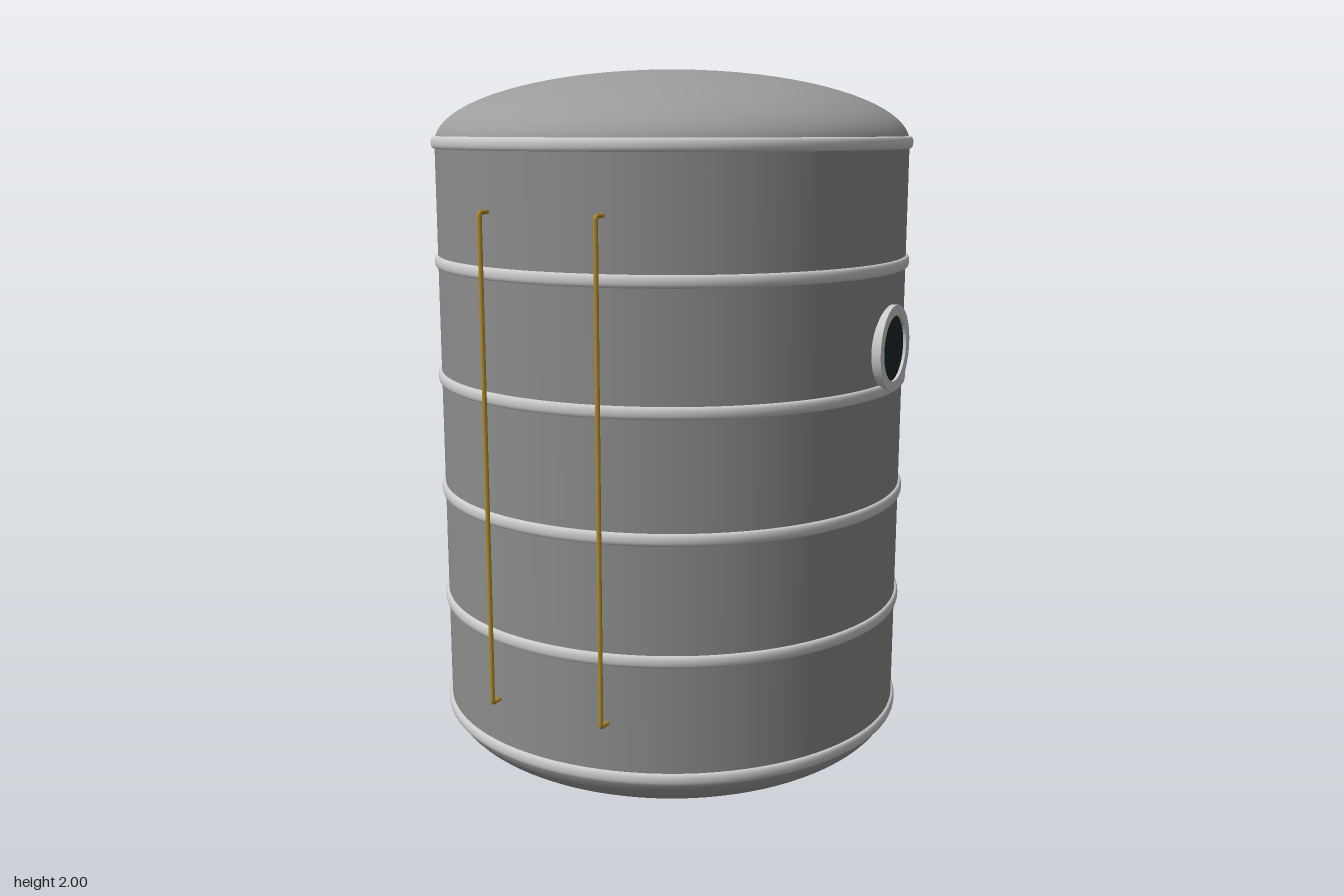
import * as THREE from 'three';

const RADIUS = 0.656, BOTTOM = 0.2, TOP = 1.805, DOME = 0.195, SEGMENTS = 96;

const material = (color) => new THREE.MeshStandardMaterial({ color });
const shellGrey = material(0x8c8c8c);
const domeGrey = material(0x9c9c9c);
const trimGrey = material(0xcccccc);
const glassDark = material(0x1c262b);
const brass = material(0xb08a2c);

function add(parent, name, geometry, mat) {
  const mesh = new THREE.Mesh(geometry, mat);
  mesh.name = name;
  parent.add(mesh);
  return mesh;
}

const lathe = (points, segments = SEGMENTS) =>
  new THREE.LatheGeometry(points.map(([r, y]) => new THREE.Vector2(r, y)), segments);

// Elliptical end cap; sign +1 rises, -1 hangs down. Profile always runs upward.
function domeGeometry(sign) {
  const points = [];
  const steps = 20;
  for (let i = 0; i <= steps; i++) {
    const a = (i / steps) * Math.PI / 2;
    points.push([i === steps ? 0 : RADIUS * Math.cos(a), sign * DOME * Math.sin(a)]);
  }
  return lathe(sign > 0 ? points : points.reverse());
}

// Round-edged hoop wrapped round the shell
function bandGeometry() {
  const points = [];
  for (let i = 0; i <= 8; i++) {
    const a = -Math.PI / 2 + (i / 8) * Math.PI;
    points.push([RADIUS - 0.004 + 0.014 * Math.sqrt(Math.cos(a) + 1e-9), 0.017 * Math.sin(a)]);
  }
  return lathe(points);
}

// Flat ring with a dark pane, facing +z before it is turned
function makePorthole(name) {
  const porthole = new THREE.Group();
  porthole.name = name;
  const shape = new THREE.Shape().absarc(0, 0, 0.116, 0, Math.PI * 2);
  shape.holes.push(new THREE.Path().absarc(0, 0, 0.088, 0, Math.PI * 2, true));
  const ring = new THREE.ExtrudeGeometry(shape, { depth: 0.03, bevelEnabled: false, curveSegments: 40 });
  add(porthole, 'portholeRing', ring, trimGrey);
  const pane = new THREE.CylinderGeometry(0.09, 0.09, 0.02, 40).rotateX(Math.PI / 2);
  add(porthole, 'portholePane', pane, glassDark).position.z = 0.012;
  return porthole;
}

// Upright rod whose two ends bend back toward the shell
function railGeometry(x) {
  const back = 0.646, front = 0.679, low = 0.362, high = 1.642, bend = 0.008;
  const p = (y, z) => new THREE.Vector3(x, y, z);
  const path = new THREE.CurvePath();
  path.add(new THREE.LineCurve3(p(low, back), p(low, front - bend)));
  path.add(new THREE.QuadraticBezierCurve3(p(low, front - bend), p(low, front), p(low + bend, front)));
  path.add(new THREE.LineCurve3(p(low + bend, front), p(high - bend, front)));
  path.add(new THREE.QuadraticBezierCurve3(p(high - bend, front), p(high, front), p(high, front - bend)));
  path.add(new THREE.LineCurve3(p(high, front - bend), p(high, back)));
  return new THREE.TubeGeometry(path, 400, 0.006, 8);
}

export function createModel() {
  const model = new THREE.Group();
  model.name = 'storageTank';

  // Tank body sits slightly back so the rails balance the depth
  const tank = new THREE.Group();
  tank.name = 'tank';
  tank.position.z = -0.02;
  model.add(tank);

  add(tank, 'shell', lathe([[RADIUS, BOTTOM], [RADIUS, TOP]]), shellGrey);
  add(tank, 'topDome', domeGeometry(1), domeGrey).position.y = TOP;
  add(tank, 'bottomDome', domeGeometry(-1), domeGrey).position.y = BOTTOM;

  // Six evenly spaced hoops
  const band = bandGeometry();
  for (let i = 0; i < 6; i++) {
    add(tank, `band${i + 1}`, band, trimGrey).position.y = BOTTOM + (i / 5) * (TOP - BOTTOM);
  }

  for (const side of [-1, 1]) {
    const label = side > 0 ? 'left' : 'right';
    // Portholes on both flanks
    const porthole = makePorthole(`${label}Porthole`);
    porthole.position.set(side * 0.641, 1.27, 0);
    porthole.rotation.y = side * Math.PI / 2;
    tank.add(porthole);
    // Front rails, with closed ends
    const rail = add(model, `${label}Rail`, railGeometry(side * 0.165), brass);
    for (const y of [0.362, 1.642]) {
      const cap = new THREE.CircleGeometry(0.006, 8).rotateY(Math.PI);
      add(rail, 'railEnd', cap, brass).position.set(side * 0.165, y, 0.646);
    }
  }
  return model;
}
